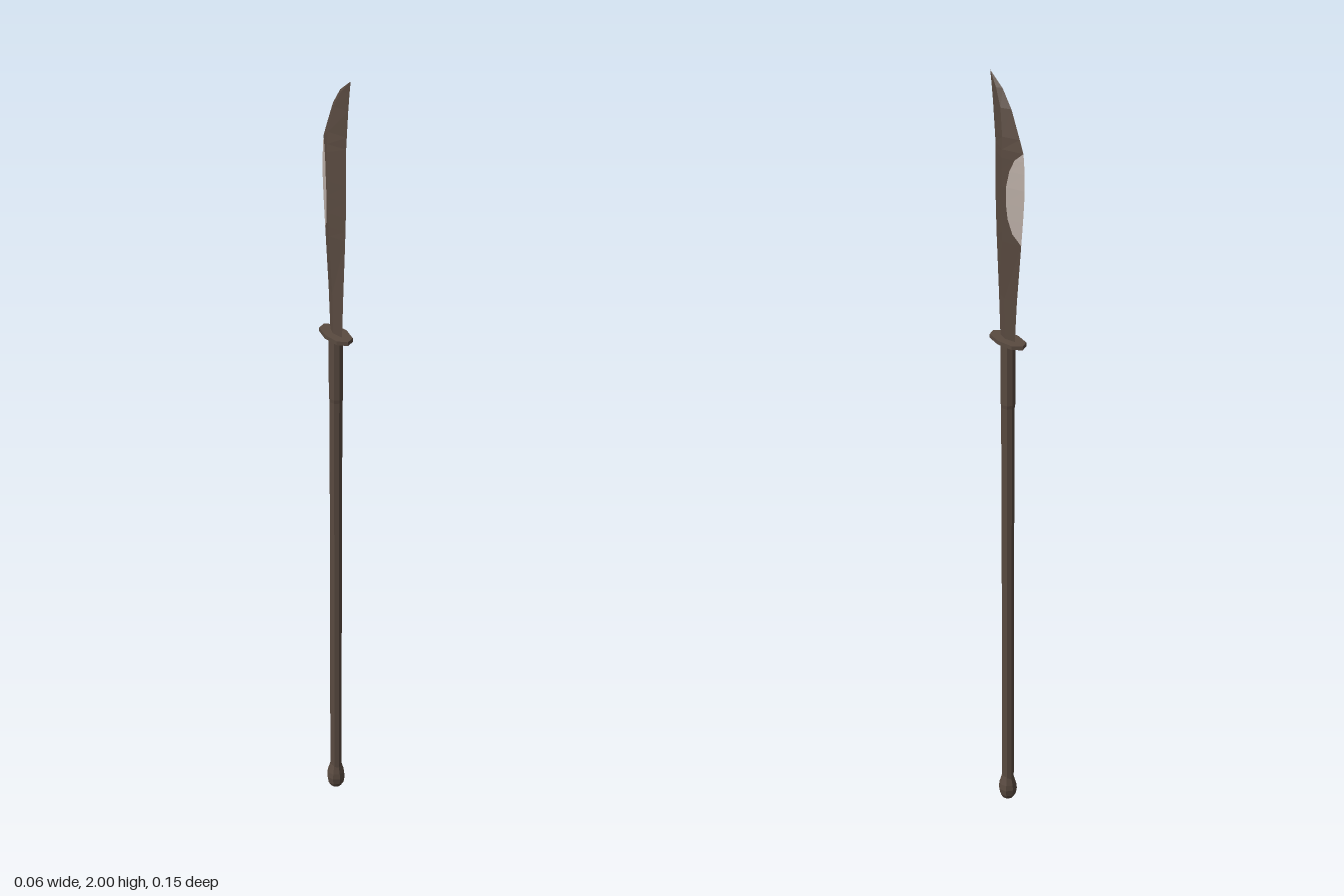
import * as THREE from 'three';

const brown = new THREE.MeshStandardMaterial({ color: 0x594a40, flatShading: true });
brown.name = 'darkBrown';
const pale = new THREE.MeshStandardMaterial({ color: 0xbcafa7, flatShading: true });
pale.name = 'paleSteel';

// Blade rows from base to tip: y, spine z, ridge z, half thickness, edge z,
// and how far the brown reaches from ridge to edge (1 = no pale patch)
const rows = [
  [1.34, 0.033, 0.0, 0.008, -0.03, 1],
  [1.45, 0.039, 0.0, 0.010, -0.039, 1],
  [1.60, 0.049, -0.002, 0.018, -0.057, 1],
  [1.625, 0.050, -0.002, 0.019, -0.060, 0.52],
  [1.66, 0.052, -0.003, 0.020, -0.064, 0.28],
  [1.70, 0.053, -0.004, 0.021, -0.068, 0.19],
  [1.74, 0.053, -0.005, 0.022, -0.071, 0.2],
  [1.78, 0.053, -0.005, 0.022, -0.070, 0.34],
  [1.81, 0.053, -0.005, 0.022, -0.068, 0.58],
  [1.83, 0.053, -0.005, 0.021, -0.065, 1],
  [1.86, 0.056, -0.004, 0.019, -0.050, 1],
  [1.925, 0.063, 0.012, 0.013, -0.015, 1],
  [1.967, 0.069, 0.040, 0.007, 0.022, 1],
  [2.0, 0.075, 0.075, 0, 0.075, 1],
];

// Six points round the blade: spine, ridge, patch border, edge, and back
function ring([y, spine, ridge, t, edge, f]) {
  const mz = ridge + (edge - ridge) * f, mx = t * (1 - f);
  return [[0, y, spine], [t, y, ridge], [mx, y, mz], [0, y, edge], [-mx, y, mz], [-t, y, ridge]];
}

// Skin the chosen strips between neighbouring rings
function bladeStrips(strips) {
  const pos = [], rings = rows.map(ring);
  const same = (p, q) => Math.hypot(p[0] - q[0], p[1] - q[1], p[2] - q[2]) < 1e-6;
  const tri = (a, b, c) => {
    if (!same(a, b) && !same(b, c) && !same(a, c)) pos.push(...a, ...b, ...c);
  };
  for (let i = 0; i + 1 < rings.length; i++) {
    for (const s of strips) {
      const n = (s + 1) % 6;
      tri(rings[i][s], rings[i][n], rings[i + 1][n]);
      tri(rings[i][s], rings[i + 1][n], rings[i + 1][s]);
    }
  }
  const geo = new THREE.BufferGeometry();
  geo.setAttribute('position', new THREE.Float32BufferAttribute(pos, 3));
  geo.computeVertexNormals();
  return geo;
}

function turned(points) {
  return new THREE.LatheGeometry(points.map(([r, y]) => new THREE.Vector2(r, y)), 8);
}

export function createModel() {
  const model = new THREE.Group();
  model.name = 'glaive';
  const add = (name, geo, mat) => {
    const mesh = new THREE.Mesh(geo, mat);
    mesh.name = name;
    model.add(mesh);
    return mesh;
  };

  // Blade with a pale ground patch on both sides of the edge
  add('blade', bladeStrips([0, 1, 4, 5]), brown);
  add('bladePatch', bladeStrips([2, 3]), pale);

  // Long eight-sided guard plate
  const outline = [[0, 0.065], [0.022, 0.048], [0.03, 0], [0.022, -0.048],
    [0, -0.065], [-0.022, -0.048], [-0.03, 0], [-0.022, 0.048]];
  const plate = new THREE.ExtrudeGeometry(
    new THREE.Shape(outline.map(([x, z]) => new THREE.Vector2(x, z))),
    { depth: 0.01, bevelEnabled: false });
  plate.rotateX(-Math.PI / 2);
  add('guard', plate, brown).position.y = 1.335;

  // Shaft, slightly deeper than wide and thicker under the guard
  add('shaft', turned([[0.0155, 0.05], [0.0155, 0.7], [0.0165, 1.16], [0.018, 1.17], [0.018, 1.336]]), brown)
    .scale.z = 1.12;

  // Rounded butt
  add('pommel', turned([[0, 0], [0.015, 0], [0.022, 0.012], [0.025, 0.03], [0.023, 0.045], [0.0155, 0.07]]), brown);

  return model;
}
